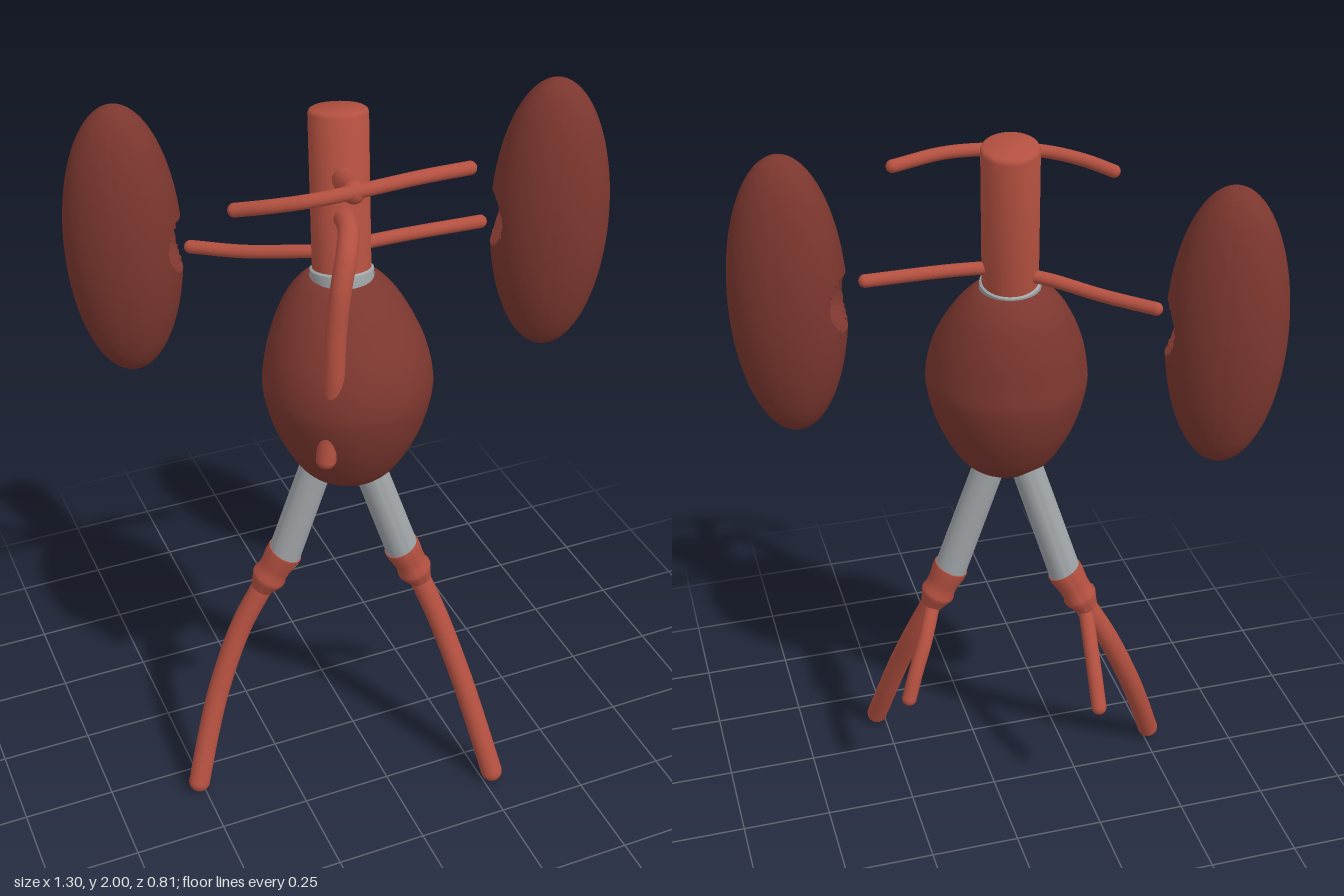
import * as THREE from 'three';
import { toCreasedNormals } from 'three/addons/utils/BufferGeometryUtils.js';

const V = (p) => new THREE.Vector3(...p);

export function createModel() {
  const model = new THREE.Group();
  const mat = (name, color) => Object.assign(new THREE.MeshStandardMaterial({ color }), { name });
  const artery = mat('artery red', 0xb35040);
  const organ = mat('dark organ red', 0x7c372f);
  const graft = mat('graft grey', 0xa0a5a8);

  const add = (name, geometry, material, parent = model) => {
    const mesh = new THREE.Mesh(geometry, material);
    mesh.name = name;
    parent.add(mesh);
    return mesh;
  };

  // Round-ended vessel along a smooth path
  const vessel = (name, points, r, material = artery) => {
    const group = new THREE.Group();
    group.name = name;
    model.add(group);
    const pts = points.map(V);
    const curve = new THREE.CatmullRomCurve3(pts);
    add(name + 'Tube', new THREE.TubeGeometry(curve, 40, r, 20), material, group);
    for (const p of [pts[0], pts[pts.length - 1]]) {
      add(name + 'End', new THREE.SphereGeometry(r, 20, 12), material, group).position.copy(p);
    }
  };

  // Lathed part running from a to b; profile rows are [radius, fraction of length]
  const turned = (name, a, b, profile, material) => {
    const dir = V(b).sub(V(a));
    const length = dir.length();
    const pts = profile.map(([r, t]) => new THREE.Vector2(r, t * length));
    const geo = toCreasedNormals(new THREE.LatheGeometry(pts, 40), 0.7);
    const mesh = add(name, geo, material);
    mesh.position.copy(V(a));
    mesh.quaternion.setFromUnitVectors(new THREE.Vector3(0, 1, 0), dir.normalize());
  };

  // Main trunk and the grey ring at its base
  turned('aorta', [-0.067, 1.56, 0.088], [-0.045, 1.99, 0.015],
    [[0, 0], [0.073, 0], [0.073, 0.975], [0.07, 0.992], [0.064, 1], [0, 1]], artery);
  turned('graftRing', [-0.067, 1.565, 0.088], [-0.065, 1.605, 0.081],
    [[0.07, 0], [0.079, 0.1], [0.08, 0.5], [0.079, 0.9], [0.072, 1]], graft);

  // Bulging sac, its upper half leaning back to meet the trunk
  const sacProfile = new THREE.SplineCurve([
    [0, 1.02], [0.06, 1.027], [0.11, 1.053], [0.15, 1.105], [0.19, 1.19], [0.213, 1.28],
    [0.213, 1.34], [0.193, 1.425], [0.15, 1.515], [0.105, 1.57], [0.07, 1.588],
  ].map(([r, y]) => new THREE.Vector2(r, y))).getPoints(60);
  sacProfile.forEach((p) => { p.x = Math.max(p.x, 0); });
  const sacGeo = new THREE.LatheGeometry(sacProfile, 56);
  const sacPos = sacGeo.attributes.position;
  for (let i = 0; i < sacPos.count; i++) {
    const lean = THREE.MathUtils.smoothstep(sacPos.getY(i), 1.34, 1.6);
    sacPos.setZ(i, sacPos.getZ(i) - 0.04 * lean);
  }
  sacGeo.computeVertexNormals();
  add('aneurysmSac', sacGeo, organ).position.set(-0.069, 0, 0.127);

  // Kidneys: ellipsoids with a round hollow facing the trunk
  const kidney = (name, side, position) => {
    const geo = new THREE.SphereGeometry(1, 96, 96);
    geo.scale(0.15, 0.371, 0.115);
    const pos = geo.attributes.position;
    const r = 0.07;
    for (let i = 0; i < pos.count; i++) {
      const d2 = pos.getY(i) ** 2 + pos.getZ(i) ** 2;
      const x = pos.getX(i) * -side;
      if (x > 0 && d2 < r * r) pos.setX(i, -side * Math.min(x, 0.15 - Math.sqrt(r * r - d2)));
    }
    const mesh = add(name, toCreasedNormals(geo, 0.6), organ);
    mesh.position.set(...position);
    mesh.rotation.y = -0.42;
  };
  kidney('leftKidney', 1, [0.505, 1.629, 0.083]);
  kidney('rightKidney', -1, [-0.51, 1.585, -0.282]);

  // Side branches to the kidneys
  vessel('leftRenalArtery', [[-0.03, 1.65, 0.07], [0.1, 1.653, 0.075], [0.31, 1.65, 0.08]], 0.017);
  vessel('rightRenalArtery',
    [[-0.06, 1.635, 0.06], [-0.14, 1.628, 0.015], [-0.26, 1.608, -0.075], [-0.37, 1.6, -0.165]], 0.017);

  // Short front trunk and the arched vessel it carries
  vessel('upperFrontTrunk', [[-0.055, 1.845, 0.05], [-0.078, 1.855, 0.14], [-0.1, 1.882, 0.238]], 0.028);
  vessel('archedArtery', [[-0.355, 1.842, 0.142], [-0.29, 1.86, 0.19], [-0.2, 1.877, 0.232],
    [-0.08, 1.889, 0.25], [0.06, 1.894, 0.25], [0.2, 1.882, 0.228]], 0.017);

  // Front vessel that hooks down and passes through the sac
  vessel('hookedArtery', [[-0.065, 1.75, 0.06], [-0.085, 1.755, 0.17], [-0.115, 1.73, 0.235],
    [-0.142, 1.66, 0.265], [-0.16, 1.54, 0.273], [-0.168, 1.42, 0.278], [-0.175, 1.3, 0.27],
    [-0.19, 1.19, 0.278]], 0.026);

  // Two lower limbs: grey graft, red collar, long vessel and short rear branch
  const limbs = [
    { name: 'left', top: [-0.025, 1.09, 0.093], cuff: [0.1, 0.7, 0.12], fork: [0.143, 0.61, 0.128],
      long: [[0.185, 0.48, 0.175], [0.225, 0.31, 0.25], [0.25, 0.18, 0.305], [0.275, 0.03, 0.373]],
      short: [[0.185, 0.52, 0.065], [0.222, 0.44, 0.03], [0.248, 0.365, 0.01]] },
    { name: 'right', top: [-0.095, 1.09, 0.05], cuff: [-0.215, 0.7, 0.015], fork: [-0.265, 0.61, -0.005],
      long: [[-0.335, 0.48, -0.008], [-0.41, 0.31, 0.012], [-0.46, 0.18, 0.042], [-0.513, 0.03, 0.085]],
      short: [[-0.262, 0.53, -0.065], [-0.261, 0.45, -0.12], [-0.26, 0.365, -0.172]] },
  ];
  for (const { name, top, cuff, fork, long, short } of limbs) {
    turned(name + 'GraftLimb', cuff, top, [[0, 0], [0.046, 0], [0.045, 0.1], [0.043, 1], [0, 1]], graft);
    turned(name + 'Collar', fork, V(cuff).lerp(V(top), 0.06).toArray(),
      [[0, -0.12], [0.032, -0.1], [0.041, 0.1], [0.047, 0.2], [0.048, 0.28], [0.043, 0.36],
        [0.044, 0.6], [0.049, 0.85], [0.049, 1], [0, 1]], artery);
    vessel(name + 'LongVessel', [fork, ...long], 0.03);
    vessel(name + 'ShortBranch', [fork, ...short], 0.021);
  }
  return model;
}
